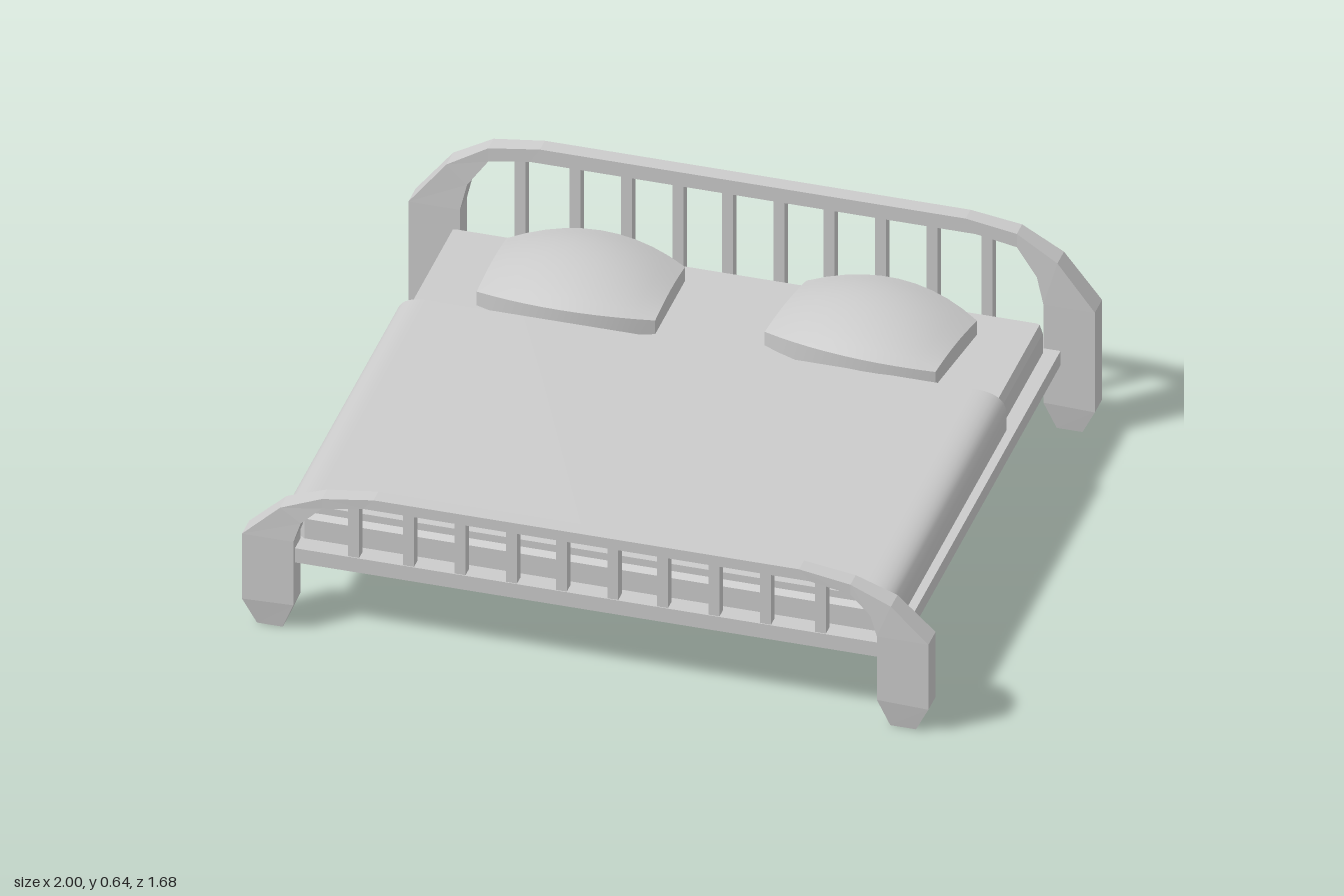
import * as THREE from 'three';
import { toCreasedNormals } from 'three/addons/utils/BufferGeometryUtils.js';

const material = new THREE.MeshStandardMaterial({ color: 0xcccccc });
const flat = new THREE.MeshStandardMaterial({ color: 0xcccccc, flatShading: true });

function addMesh(parent, name, geometry, mat = material) {
  const mesh = new THREE.Mesh(geometry, mat);
  mesh.name = name;
  parent.add(mesh);
  return mesh;
}

function addBox(parent, name, [x0, x1], [y0, y1], [z0, z1]) {
  const mesh = addMesh(parent, name, new THREE.BoxGeometry(x1 - x0, y1 - y0, z1 - z0));
  mesh.position.set((x0 + x1) / 2, (y0 + y1) / 2, (z0 + z1) / 2);
}

// Solid from rings of corners, with flat caps at both ends
function loft(rings) {
  const n = rings[0].length;
  const index = [];
  for (let r = 0; r < rings.length - 1; r++) {
    for (let k = 0; k < n; k++) {
      const a = r * n + k, b = r * n + (k + 1) % n;
      index.push(a, a + n, b, a + n, b + n, b);
    }
  }
  const last = (rings.length - 1) * n;
  for (let k = 1; k < n - 1; k++) {
    index.push(0, k, k + 1, last, last + k + 1, last + k);
  }
  const g = new THREE.BufferGeometry();
  g.setAttribute('position', new THREE.Float32BufferAttribute(rings.flat(2), 3));
  g.setIndex(index);
  g.computeVertexNormals();
  return g;
}

// Legs and top rail in one sweep; each station is [outerX, outerY, innerX, innerY, halfDepth]
function archGeometry(half) {
  const mirrored = half.map(([ox, oy, ix, iy, d]) => [-ox, oy, -ix, iy, d]).reverse();
  return loft([...half, ...mirrored].map(([ox, oy, ix, iy, d]) =>
    [[ox, oy, d], [ox, oy, -d], [ix, iy, -d], [ix, iy, d]]));
}

// Head or foot end: arch plus a row of spindles
function makeEnd(name, z, shoulderY, topY, rail) {
  const end = new THREE.Group();
  end.name = name;
  const bend = topY - shoulderY;
  addMesh(end, name + 'Arch', archGeometry([
    [-0.96, 0, -0.885, 0, 0.022],
    [-1, 0.08, -0.85, 0.085, 0.035],
    [-1, shoulderY, -0.85, shoulderY, 0.035],
    [-0.89, shoulderY + bend * 0.6, -0.83, shoulderY + bend * 0.36, 0.032],
    [-0.77, topY - 0.022, -0.77, topY - rail - 0.02, 0.026],
    [-0.62, topY, -0.65, topY - rail, 0.024],
  ]), flat);
  for (const side of [-1, 1]) {
    for (const offset of [0.075, 0.22, 0.37, 0.52, 0.68]) {
      const x = side * offset;
      addBox(end, 'spindle', [x - 0.016, x + 0.016], [0.25, topY - 0.02], [-0.017, 0.017]);
    }
  }
  end.position.z = z;
  return end;
}

// Mattress ring: a rectangle with cut corners, in plan
function mattressRing(y, x, z, cutX, cutZ) {
  const c = [[x, z - cutZ], [x - cutX, z], [cutX - x, z], [-x, z - cutZ],
    [-x, cutZ - z], [cutX - x, -z], [x - cutX, -z], [x, cutZ - z]];
  return c.reverse().map(([px, pz]) => [px, y, pz]).reverse();
}

// Cushion with bowed long edges, upright sides and a domed top
function pillowGeometry() {
  const g = new THREE.BoxGeometry(2, 1, 2, 10, 1, 10);
  const p = g.attributes.position;
  for (let i = 0; i < p.count; i++) {
    const u = p.getX(i), w = p.getZ(i);
    const bu = 1 - u * u, bw = 1 - w * w;
    const top = 0.045 + 0.03 * bu + 0.01 * bw + 0.03 * bu * bw - 0.012 * w * bu;
    p.setXYZ(i, 0.26 * u, p.getY(i) < 0 ? 0 : top, w * (0.145 + 0.052 * bu));
  }
  g.computeVertexNormals();
  return g;
}

export function createModel() {
  const bed = new THREE.Group();
  bed.name = 'bed';

  bed.add(makeEnd('headboard', -0.805, 0.41, 0.645, 0.046));
  bed.add(makeEnd('footboard', 0.805, 0.295, 0.468, 0.034));

  // Platform with thin rails hanging below its edges
  addBox(bed, 'platform', [-0.905, 0.9], [0.257, 0.265], [-0.825, 0.825]);
  for (const [x0, x1] of [[-0.905, -0.893], [0.888, 0.9]]) {
    addBox(bed, 'sideRail', [x0, x1], [0.218, 0.257], [-0.825, 0.825]);
  }
  for (const [z0, z1] of [[-0.825, -0.813], [0.813, 0.825]]) {
    addBox(bed, 'endRail', [-0.893, 0.888], [0.218, 0.257], [z0, z1]);
  }

  // Mattress with cut corners and sloping upper ends
  addMesh(bed, 'mattress', loft([
    mattressRing(0.265, 0.863, 0.768, 0.03, 0.023),
    mattressRing(0.33, 0.863, 0.768, 0.03, 0.023),
    mattressRing(0.36, 0.855, 0.745, 0.01, 0.004),
  ]), flat).position.x = -0.007;

  // Blanket: a thin sheet over the mattress with rounded long sides
  const s = new THREE.Shape();
  s.moveTo(-0.902, 0.265);
  s.lineTo(-0.872, 0.265);
  s.lineTo(-0.872, 0.331);
  s.lineTo(-0.863, 0.362);
  s.lineTo(0.849, 0.362);
  s.lineTo(0.858, 0.331);
  s.lineTo(0.858, 0.265);
  s.lineTo(0.874, 0.265);
  s.lineTo(0.874, 0.325);
  s.quadraticCurveTo(0.87, 0.385, 0.78, 0.385);
  s.lineTo(-0.81, 0.385);
  s.quadraticCurveTo(-0.898, 0.385, -0.902, 0.325);
  s.closePath();
  const blanket = new THREE.ExtrudeGeometry(s, { depth: 1.113, bevelEnabled: false, curveSegments: 8 });
  addMesh(bed, 'blanket', toCreasedNormals(blanket, 0.6)).position.z = -0.333;

  // Pillows, the left one slightly turned
  addMesh(bed, 'rightPillow', pillowGeometry()).position.set(-0.425, 0.36, -0.53);
  const leftPillow = addMesh(bed, 'leftPillow', pillowGeometry());
  leftPillow.position.set(0.42, 0.36, -0.53);
  leftPillow.rotation.y = -0.12;

  return bed;
}
